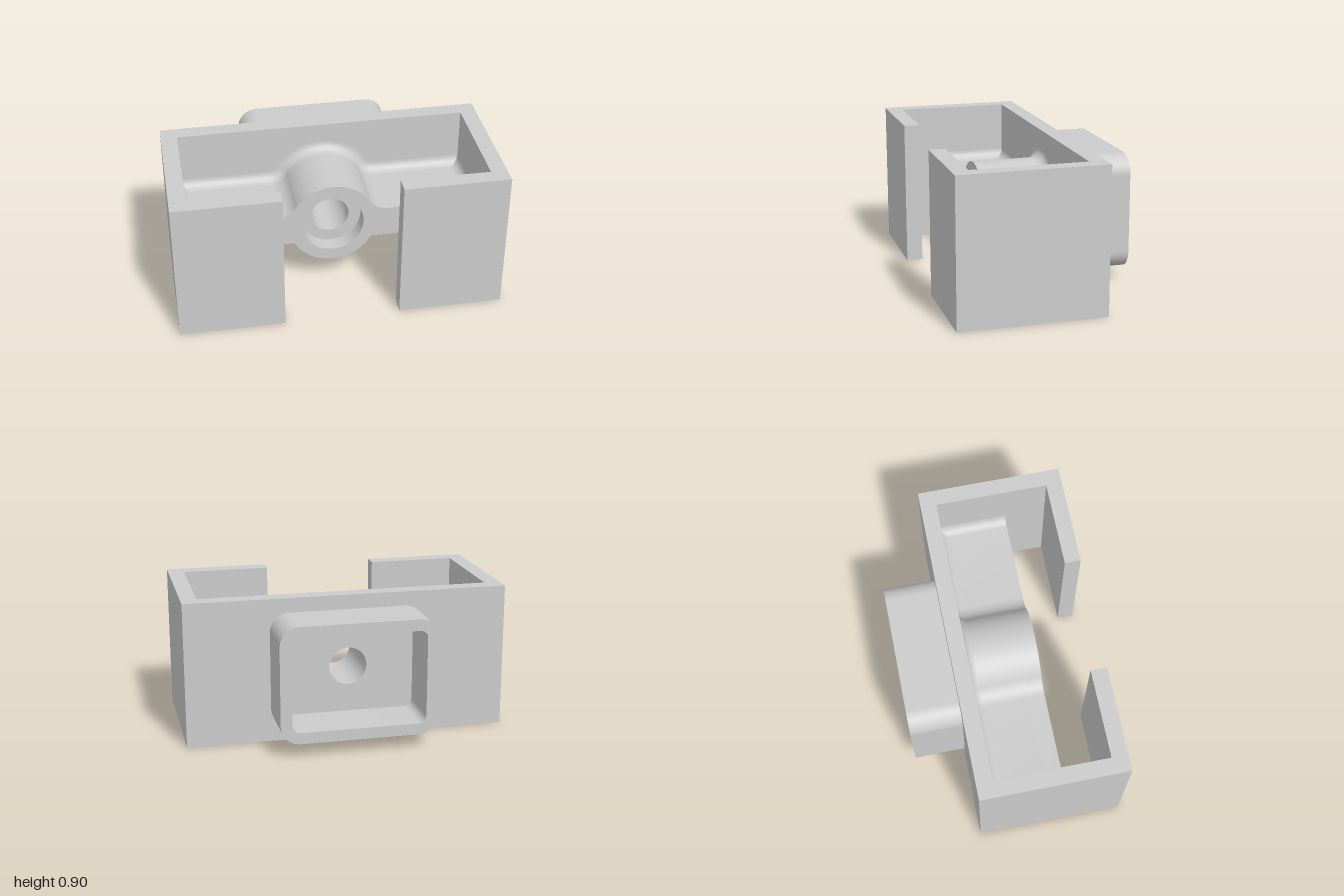
import * as THREE from 'three';
import { toCreasedNormals } from 'three/addons/utils/BufferGeometryUtils.js';
import { ParametricGeometry } from 'three/addons/geometries/ParametricGeometry.js';

const MID = 0.45;                 // height of the bore axis
const BACK = -0.29, INNER = -0.19, RIB_FRONT = 0.25, FRONT = 0.61;
const RIB = 0.077, BOSS = 0.27, BLEND_X = 0.34, BLEND = 0.127, FILLET = 0.06;
const BORE = 0.117, COUNTERBORE = 0.193;

const material = new THREE.MeshStandardMaterial({ color: 0xcccccc });

function add(parent, name, geometry) {
  const mesh = new THREE.Mesh(geometry, material);
  mesh.name = name;
  parent.add(mesh);
  return mesh;
}

// Extrude a shape along z between two planes, smooth curves and sharp edges
function prism(shape, z0, z1) {
  const g = new THREE.ExtrudeGeometry(shape, { depth: z1 - z0, bevelEnabled: false, curveSegments: 48 });
  g.translate(0, 0, z0);
  return toCreasedNormals(g, 0.5);
}

function circleHole(radius) {
  return new THREE.Path().absarc(0, 0, radius, 0, Math.PI * 2, true);
}

function roundedRect(path, w, h, r) {
  path.absarc(w - r, h - r, r, 0, Math.PI / 2);
  path.absarc(-w + r, h - r, r, Math.PI / 2, Math.PI);
  path.absarc(-w + r, -h + r, r, Math.PI, Math.PI * 1.5);
  path.absarc(w - r, -h + r, r, Math.PI * 1.5, Math.PI * 2);
  path.closePath();
  return path;
}

// Arc samples with outward normals; sign -1 marks a concave arc
function arc(cx, cy, r, a0, a1, sign, n) {
  return Array.from({ length: n + 1 }, (_, i) => {
    const a = a0 + (a1 - a0) * i / n, c = Math.cos(a), s = Math.sin(a);
    return { x: cx + r * c, y: cy + r * s, nx: sign * c, ny: sign * s };
  });
}

// Upper edge of rib and boss, from right to left, without the ends
function upperEdge() {
  const cy = RIB + BLEND, t = Math.atan2(cy, BLEND_X);
  const right = arc(BLEND_X, cy, BLEND, -Math.PI / 2, t - Math.PI, -1, 12);
  const crown = arc(0, 0, BOSS, t, Math.PI - t, 1, 40).slice(1, -1);
  const left = right.map(p => ({ x: -p.x, y: p.y, nx: -p.nx, ny: p.ny })).reverse();
  return [...right, ...crown, ...left];
}

// Closed rib outline, flared where it meets the side walls
function ribShape(holeRadius) {
  const flare = arc(0.9 - FILLET, RIB + FILLET, FILLET, 0, -Math.PI / 2, -1, 8);
  const top = [...flare, ...upperEdge(), ...flare.map(p => ({ x: -p.x, y: p.y })).reverse()];
  const points = [...top, ...top.map(p => ({ x: -p.x, y: -p.y }))];
  const shape = new THREE.Shape(points.map(p => new THREE.Vector2(p.x, p.y)));
  shape.holes.push(circleHole(holeRadius));
  return shape;
}

// Fillet sweeping along the upper edge against the back wall
function filletGeometry() {
  const edge = [{ x: 0.9, y: RIB, nx: 0, ny: 1 }, ...upperEdge(), { x: -0.9, y: RIB, nx: 0, ny: 1 }];
  const last = edge.length - 1;
  const g = new ParametricGeometry((u, v, target) => {
    const p = edge[Math.min(last, Math.round(u * last))];
    const a = v * Math.PI / 2;
    const d = FILLET * (1 - Math.sin(a));
    target.set(p.x + p.nx * d, p.y + p.ny * d, INNER + FILLET * (1 - Math.cos(a)));
  }, last, 10);
  g.computeVertexNormals();
  return g;
}

export function createModel() {
  const model = new THREE.Group();
  model.name = 'bracket';

  // Parts centred on the bore axis
  const core = new THREE.Group();
  core.name = 'core';
  core.position.y = MID;
  model.add(core);

  // Back wall with the bore
  const wall = new THREE.Shape([[-1, -MID], [1, -MID], [1, MID], [-1, MID]].map(p => new THREE.Vector2(...p)));
  wall.holes.push(circleHole(BORE));
  add(core, 'backWall', prism(wall, BACK, INNER));

  // Rectangular collar behind the wall
  const collar = roundedRect(new THREE.Shape(), 0.48, 0.36, 0.12);
  collar.holes.push(roundedRect(new THREE.Path(), 0.41, 0.29, 0.05));
  add(core, 'rearCollar', prism(collar, -FRONT, BACK));

  // Rib and boss, with a counterbore at the front
  add(core, 'ribAndBoss', prism(ribShape(BORE), INNER, RIB_FRONT - 0.1));
  add(core, 'counterboredFront', prism(ribShape(COUNTERBORE), RIB_FRONT - 0.1, RIB_FRONT));
  const fillet = filletGeometry();
  add(core, 'upperFillet', fillet);
  add(core, 'lowerFillet', fillet).rotation.z = Math.PI;

  // Side walls with inward lips, drawn in plan and raised
  for (const [name, s] of [['leftArm', 1], ['rightArm', -1]]) {
    const plan = [[1, INNER], [1, FRONT], [0.355, FRONT], [0.355, 0.51], [0.9, 0.51], [0.9, INNER]];
    const shape = new THREE.Shape(plan.map(([x, z]) => new THREE.Vector2(s * x, -z)));
    add(model, name, prism(shape, 0, 2 * MID).rotateX(-Math.PI / 2));
  }
  return model;
}
